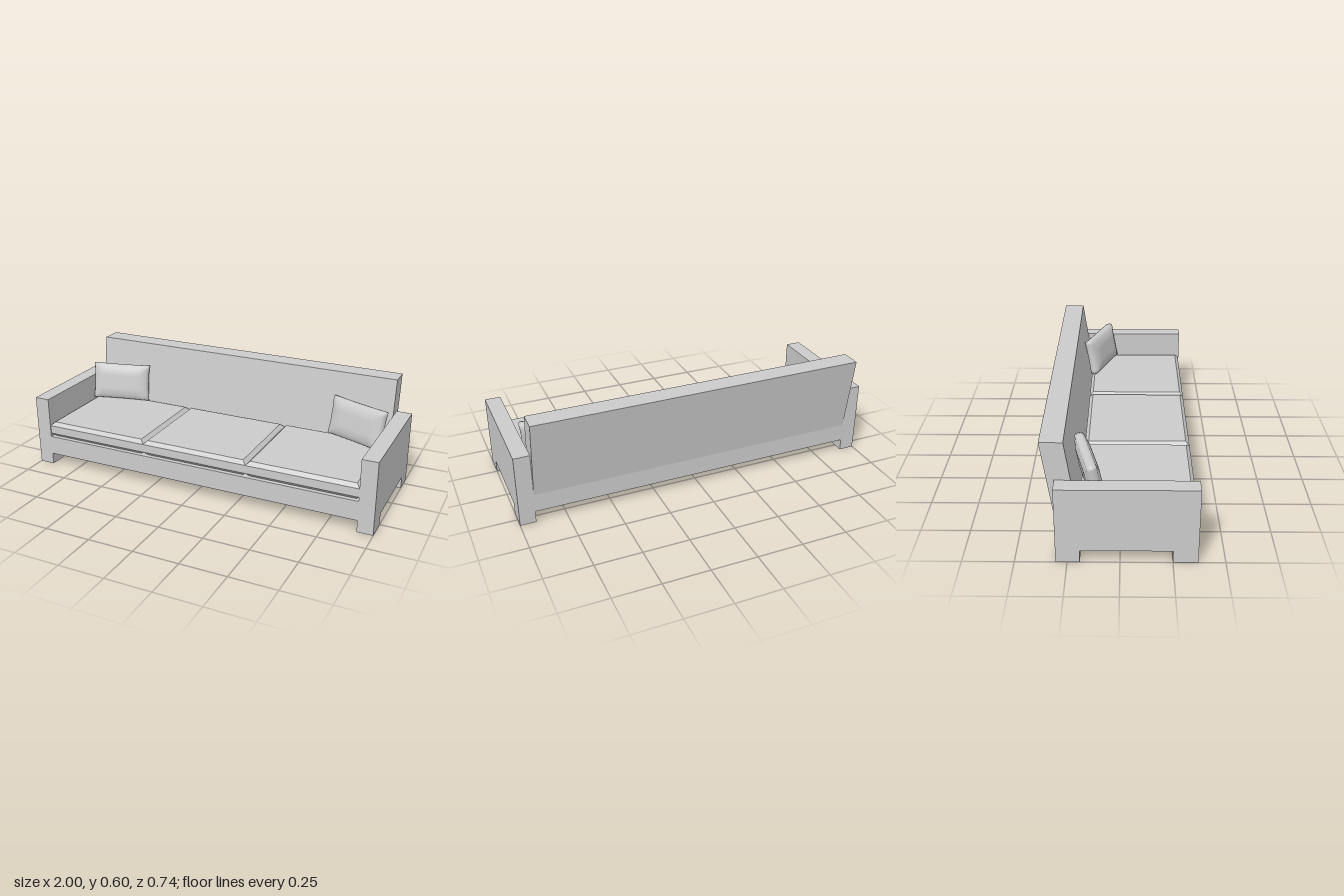
import * as THREE from 'three';
import { mergeVertices } from 'three/addons/utils/BufferGeometryUtils.js';

const material = new THREE.MeshStandardMaterial({ color: 0xcccccc });

function addMesh(parent, name, geometry) {
  const mesh = new THREE.Mesh(geometry, material);
  mesh.name = name;
  parent.add(mesh);
  return mesh;
}

// Extrudes a side profile of [z, y] points across the width, centred on x
function sidePanel(points, width, x) {
  const shape = new THREE.Shape(points.map(([z, y]) => new THREE.Vector2(z, y)));
  const geometry = new THREE.ExtrudeGeometry(shape, { depth: width, bevelEnabled: false });
  return geometry.rotateY(-Math.PI / 2).translate(x + width / 2, 0, 0);
}

// Rectangular seat pad with one chamfer around its top and bottom
function seatCushion(width, height, depth) {
  const bevel = 0.02;
  const w = width / 2 - bevel, d = depth / 2 - bevel;
  const shape = new THREE.Shape([
    new THREE.Vector2(-w, -d), new THREE.Vector2(w, -d),
    new THREE.Vector2(w, d), new THREE.Vector2(-w, d),
  ]);
  const geometry = new THREE.ExtrudeGeometry(shape, {
    depth: height - 2 * bevel, bevelThickness: bevel, bevelSize: bevel, bevelSegments: 1,
  });
  return geometry.rotateX(-Math.PI / 2).translate(0, bevel - height / 2, 0);
}

// Soft pillow: a box that bulges toward the middle and pulls in along its edges
function pillowGeometry(width, height) {
  const box = new THREE.BoxGeometry(2, 2, 2, 14, 10, 4);
  box.deleteAttribute('uv');
  box.deleteAttribute('normal');
  const geometry = mergeVertices(box);
  const p = geometry.attributes.position;
  for (let i = 0; i < p.count; i++) {
    const u = p.getX(i), v = p.getY(i), w = p.getZ(i);
    const inset = Math.min((1 - Math.abs(u)) * width, (1 - Math.abs(v)) * height) / 2;
    const half = 0.024 + 0.014 * Math.min(1, inset / 0.045);
    const round = 1 - 0.06 * w * w;
    p.setXYZ(i,
      u * width / 2 * round * (1 - 0.03 * (1 - v * v)),
      v * height / 2 * round * (1 - 0.02 * (1 - u * u)),
      w * half);
  }
  geometry.computeVertexNormals();
  return geometry;
}

export function createModel() {
  const sofa = new THREE.Group();
  sofa.name = 'sofa';

  // Arms with legs left by a notch underneath
  const armProfile = [
    [0.37, 0], [0.37, 0.4], [-0.305, 0.4], [-0.305, 0],
    [-0.19, 0], [-0.19, 0.065], [0.25, 0.065], [0.25, 0],
  ];
  for (const [name, side] of [['leftArm', 1], ['rightArm', -1]]) {
    addMesh(sofa, name, sidePanel(armProfile, 0.085, side * 0.9575));
  }

  // Base and slanted backrest between the arms
  const base = [[0.37, 0.065], [0.37, 0.172], [-0.305, 0.172], [-0.305, 0.065]];
  addMesh(sofa, 'base', sidePanel(base, 1.83, 0));
  const back = [[-0.193, 0.165], [-0.257, 0.597], [-0.369, 0.597], [-0.305, 0.165]];
  addMesh(sofa, 'backrest', sidePanel(back, 1.83, 0));

  // Three seat cushions
  const cushion = seatCushion(0.61, 0.086, 0.56);
  for (let i = -1; i <= 1; i++) {
    addMesh(sofa, 'seatCushion', cushion).position.set(i * 0.61, 0.215, 0.085);
  }

  // Throw pillows leaning into the two corners
  const pillow = pillowGeometry(0.35, 0.215);
  for (const [name, x, z, turn] of [
    ['rightPillow', -0.748, -0.15, 0.23], ['leftPillow', 0.745, -0.135, -0.37],
  ]) {
    const mesh = addMesh(sofa, name, pillow);
    mesh.position.set(x, 0.366, z);
    mesh.rotation.set(-0.19, turn, 0, 'YXZ');
  }
  return sofa;
}
